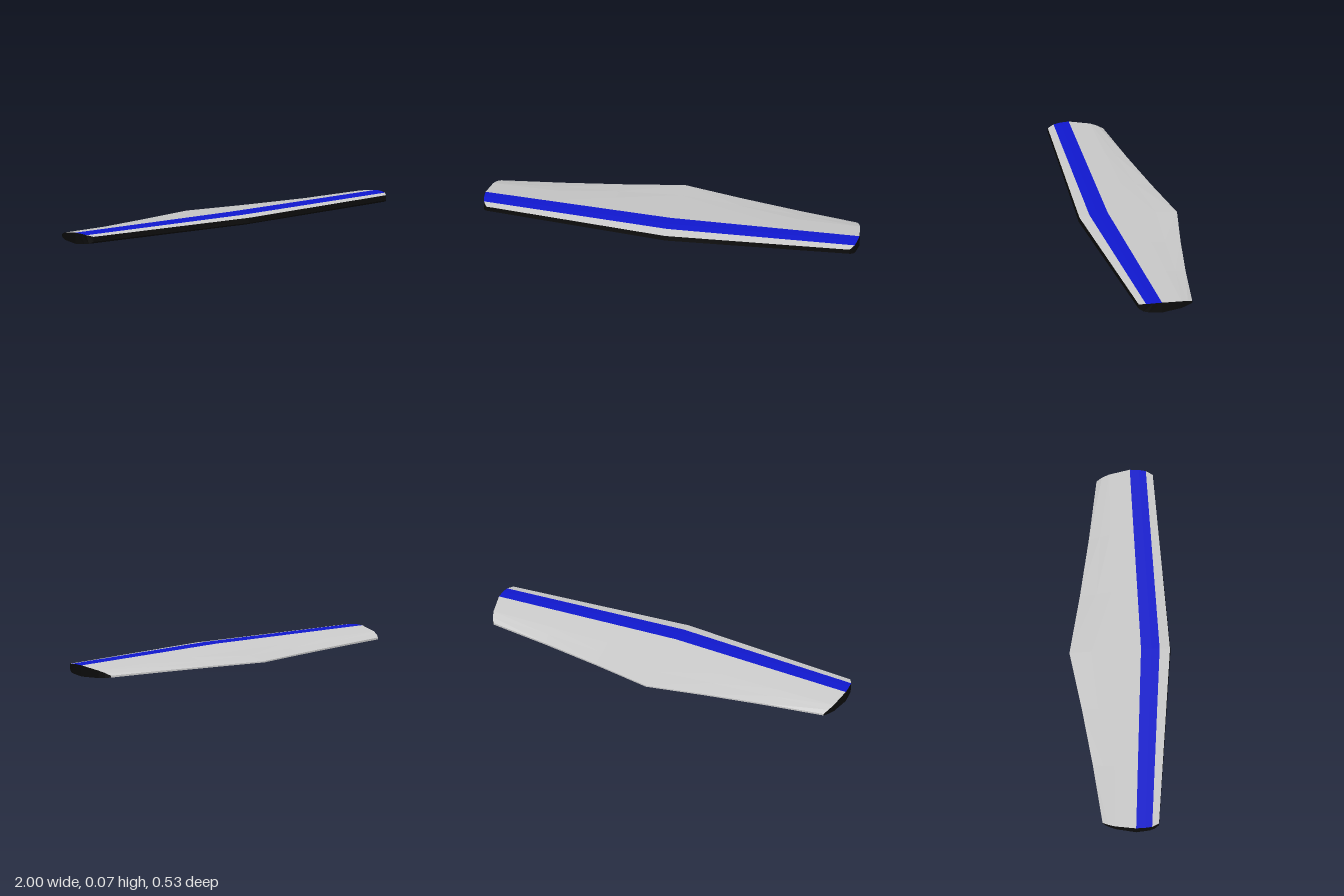
import * as THREE from 'three';

// Aerofoil ring: upper side from trailing to leading edge, then lower side back.
// Each point: [root z, root y, tip x, tip z, tip y]
const ring = [
  [-0.265, 0.017, 0.952, -0.107, 0.022],
  [-0.15, 0.032, 0.968, -0.078, 0.035],
  [-0.04, 0.046, 0.981, -0.042, 0.045],
  [0.11, 0.066, 1.0, 0.068, 0.062],
  [0.165, 0.066, 0.998, 0.115, 0.063],
  [0.208, 0.063, 0.992, 0.152, 0.06],
  [0.262, 0.055, 0.972, 0.188, 0.054],
  [0.265, 0.028, 0.972, 0.188, 0.028],
  [0.232, 0.015, 0.986, 0.165, 0.015],
  [0.185, 0.008, 0.994, 0.138, 0.01],
  [0.11, 0.0, 1.0, 0.068, 0.003],
  [-0.04, 0.004, 0.981, -0.042, 0.005],
  [-0.15, 0.008, 0.968, -0.078, 0.009],
  [-0.265, 0.01, 0.952, -0.107, 0.012],
];
const spans = [0, 0.33, 0.66, 1];
const lerp = THREE.MathUtils.lerp;

// Point i of the ring at span fraction t (0 root, 1 tip) on one side
function at(i, t, side) {
  const [z0, y0, x1, z1, y1] = ring[i % ring.length];
  const bow = z0 < -0.1 ? 0.009 * Math.sin(Math.PI * t) : 0;
  return [side * x1 * t, lerp(y0, y1, t), lerp(z0, z1, t) + bow];
}

// Adds a quad, reversed on the mirrored side
function quad(out, a, b, c, d, side) {
  if (side > 0) out.push(...a, ...b, ...c, ...a, ...c, ...d);
  else out.push(...a, ...c, ...b, ...a, ...d, ...c);
}

function toMesh(name, color, positions) {
  const geometry = new THREE.BufferGeometry();
  geometry.setAttribute('position', new THREE.Float32BufferAttribute(positions, 3));
  geometry.computeVertexNormals();
  const material = new THREE.MeshStandardMaterial({ color, flatShading: true });
  const mesh = new THREE.Mesh(geometry, material);
  mesh.name = name;
  return mesh;
}

// Skin between two ring points, running along both halves of the wing
function skin(name, color, from, to) {
  const out = [];
  for (const side of [1, -1]) {
    for (let s = 0; s < spans.length - 1; s++) {
      for (let i = from; i < to; i++) {
        const [t, u] = [spans[s], spans[s + 1]];
        quad(out, at(i, t, side), at(i + 1, t, side), at(i + 1, u, side), at(i, u, side), side);
      }
    }
  }
  return toMesh(name, color, out);
}

// Rounded end closing one tip, joining upper to lower points
function tipCap(name, color, side) {
  const out = [];
  const n = ring.length;
  for (let i = 0; i < n / 2 - 1; i++) {
    quad(out, at(i, 1, side), at(i + 1, 1, side), at(n - 2 - i, 1, side), at(n - 1 - i, 1, side), side);
  }
  return toMesh(name, color, out);
}

export function createModel() {
  const grey = 0xcccccc, blue = 0x1018d0, black = 0x0c0c0c;
  const wing = new THREE.Group();
  wing.name = 'wing';
  wing.add(
    skin('upperSkin', grey, 0, 3),
    skin('upperStripe', blue, 3, 5),
    skin('upperFrontSkin', grey, 5, 6),
    skin('leadingEdge', black, 6, 8),
    skin('lowerStripe', blue, 8, 9),
    skin('lowerSkin', grey, 9, 13),
    skin('trailingEdge', grey, 13, 14),
    tipCap('leftTip', black, 1),
    tipCap('rightTip', black, -1),
  );
  return wing;
}
